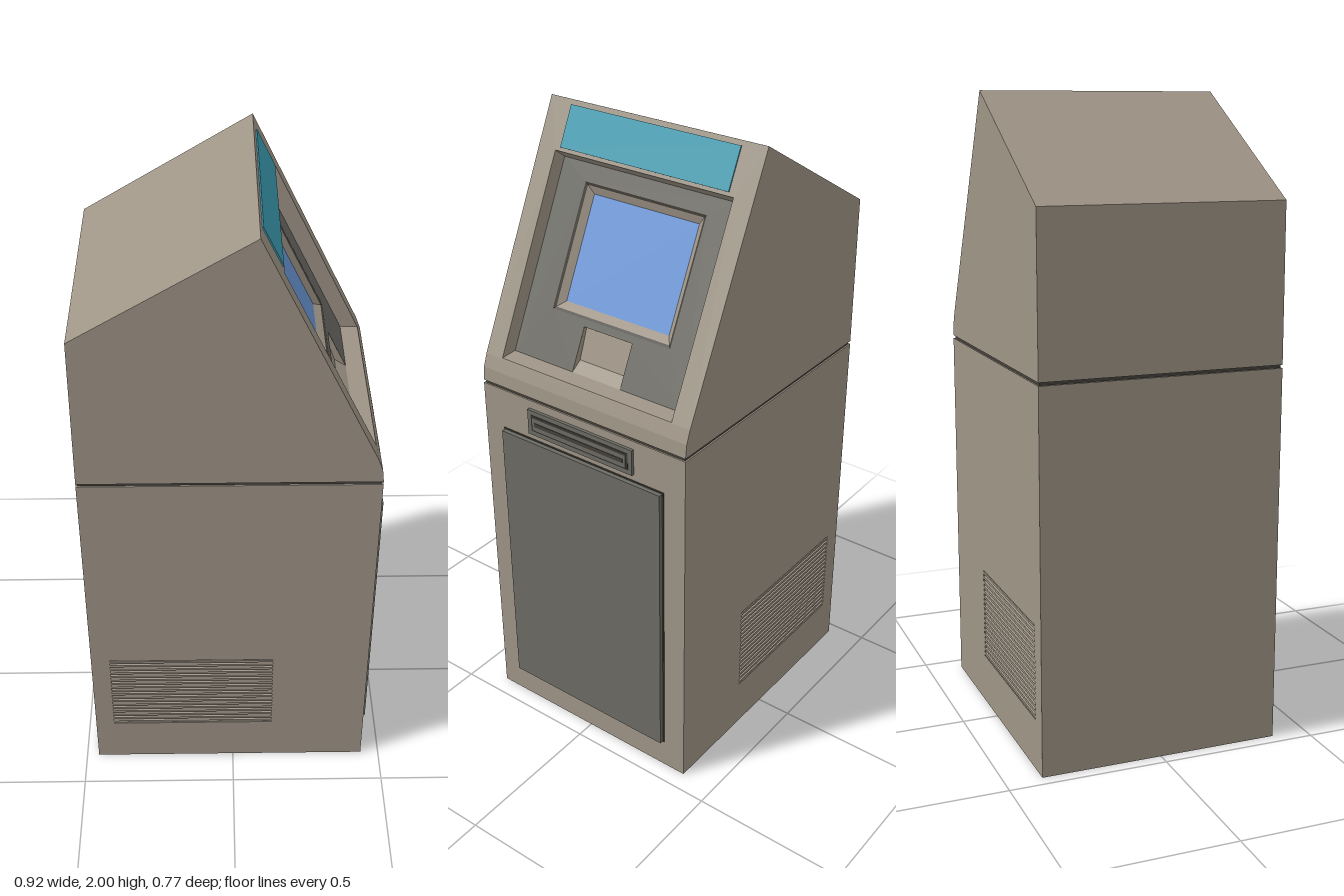
import * as THREE from 'three';

const mat = (name, color, side = THREE.FrontSide) => {
  const m = new THREE.MeshStandardMaterial({ color, side });
  m.name = name;
  return m;
};

export function createModel() {
  const root = new THREE.Group();
  root.name = 'kiosk';
  const hull = mat('warm grey casing', 0x9f9587, THREE.DoubleSide);
  const dark = mat('dark grey panel', 0x6c6b64, THREE.DoubleSide);
  const seam = mat('seam shadow', 0x45413b);
  const teal = mat('teal sign', 0x3c9bb0);
  const blue = mat('blue screen', 0x6b96d6);
  const W = 0.385; // half width

  const add = (name, geo, m, parent = root) => {
    const mesh = new THREE.Mesh(geo, m);
    mesh.name = name;
    parent.add(mesh);
    return mesh;
  };
  const box = (name, m, x0, x1, y0, y1, z0, z1, parent = root) =>
    add(name, new THREE.BoxGeometry(x1 - x0, y1 - y0, z1 - z0), m, parent)
      .position.set((x0 + x1) / 2, (y0 + y1) / 2, (z0 + z1) / 2);
  const quads = (list) => {
    const p = [];
    for (const [a, b, c, d] of list) p.push(...a, ...b, ...c, ...a, ...c, ...d);
    const g = new THREE.BufferGeometry();
    g.setAttribute('position', new THREE.Float32BufferAttribute(p, 3));
    g.computeVertexNormals();
    return g;
  };
  // open x-y profile swept across the width
  const strip = (pts, w) => quads(pts.slice(1).map((q, i) => {
    const p = pts[i];
    return [[...p, -w], [...q, -w], [...q, w], [...p, w]];
  }));
  const shape = (pts) => new THREE.Shape(pts.map((p) => new THREE.Vector2(...p)));
  const rect = (x0, x1, y0, y1) => [[x0, y0], [x1, y0], [x1, y1], [x0, y1]];
  const flatSides = (name, pts, w, m) => {
    for (const s of [-1, 1]) {
      const mesh = add(name, new THREE.ShapeGeometry(shape(pts)), m);
      mesh.position.z = s * w;
      if (s < 0) { // mirrored copy keeps its face outward
        mesh.rotation.y = Math.PI;
        mesh.geometry.scale(-1, 1, 1);
        const ix = mesh.geometry.index.array;
        for (let i = 0; i < ix.length; i += 3) [ix[i], ix[i + 1]] = [ix[i + 1], ix[i]];
      }
    }
  };

  // lower cabinet: front, back, floor and top
  const low = rect(-0.46, 0.44, 0, 1.187);
  add('cabinetShell', strip([...low, low[0]], W), hull);

  // cabinet sides with louvred vents
  const gx0 = -0.4, gx1 = 0.13, gy0 = 0.16, gy1 = 0.46;
  const sideShape = shape(low);
  sideShape.holes.push(new THREE.Path(rect(gx0, gx1, gy0, gy1).map((p) => new THREE.Vector2(...p))));
  const sideGeo = new THREE.ExtrudeGeometry(sideShape, { depth: 0.015, bevelEnabled: false });
  const count = 18, pitch = (gy1 - gy0) / count;
  for (const s of [-1, 1]) {
    add('cabinetSide', sideGeo, hull).position.z = s > 0 ? W - 0.015 : -W;
    const vent = new THREE.Group();
    vent.name = 'ventLouvres';
    root.add(vent);
    for (let i = 0; i < count; i++) {
      const y = gy0 + (i + 0.5) * pitch;
      box('louvre', hull, gx0, gx1, y - 0.004, y + 0.004, s * W - 0.012 - s * 0.012, s * W + 0.012 - s * 0.012, vent);
    }
  }

  // seam between cabinet and head
  box('seam', seam, -0.455, 0.435, 1.18, 1.205, -W + 0.005, W - 0.005);

  // head casing, open on the sloping front
  const head = [[0.07, 2], [-0.456, 1.685], [-0.46, 1.197], [0.44, 1.197], [0.435, 1.24], [0.42, 1.28]];
  add('headShell', strip(head, W), hull);
  flatSides('headSide', head, W, hull);

  // sloping fascia frame: x across, y up the slope, z outward
  const a = Math.atan2(0.35, 0.72), c = Math.cos(a), s = Math.sin(a);
  const fascia = new THREE.Group();
  fascia.name = 'fascia';
  new THREE.Matrix4().makeBasis(
    new THREE.Vector3(0, 0, -1), new THREE.Vector3(-s, c, 0), new THREE.Vector3(c, s, 0),
  ).setPosition(0.42, 1.28, 0).decompose(fascia.position, fascia.quaternion, fascia.scale);
  root.add(fascia);

  const plate = (name, outline, hole, z, m) => {
    const sh = shape(outline);
    if (hole) sh.holes.push(new THREE.Path(hole.map((p) => new THREE.Vector2(...p))));
    add(name, new THREE.ShapeGeometry(sh), m, fascia).position.z = z;
  };
  // inward facing walls between two rectangles at different depths
  const walls = (name, A, za, B, zb, m) => add(name, quads(A.map((p, i) => {
    const j = (i + 1) % 4;
    return [[...p, za], [...A[j], za], [...B[j], zb], [...B[i], zb]];
  })), m, fascia);

  const mouth = rect(-0.32, 0.32, 0.003, 0.645), inner = rect(-0.32, 0.32, 0.03, 0.635);
  plate('fasciaFrame', rect(-W, W, 0, 0.8005), mouth, 0, hull);
  walls('recessWalls', mouth, 0, inner, -0.05, hull);
  box('signStrip', teal, -0.302, 0.302, 0.656, 0.785, -0.004, 0.004, fascia);

  // recessed control panel, notched at the bottom for the tray
  const opening = rect(-0.22, 0.22, 0.191, 0.58);
  plate('controlPanel', [[-0.32, 0.03], [-0.09, 0.03], [-0.09, 0.169], [0.09, 0.169], [0.09, 0.03],
    [0.32, 0.03], [0.32, 0.635], [-0.32, 0.635]], opening, -0.05, dark);

  // display: dark rim, sloped bezel and screen
  const rim = rect(-0.212, 0.212, 0.199, 0.572), view = rect(-0.192, 0.192, 0.223, 0.551);
  walls('bezelRim', opening, -0.05, rim, -0.054, seam);
  walls('screenBezel', rim, -0.054, view, -0.07, hull);
  plate('screen', view, null, -0.07, blue);

  // scooped tray below the display
  const scoop = [[0.362, 1.285], [0.325, 1.31], [0.29, 1.405], [0.301, 1.41]];
  add('tray', strip(scoop, 0.09), hull);
  flatSides('traySide', scoop, 0.09, hull);

  // slot with nested frames
  box('slotFrame', dark, 0.435, 0.45, 1.075, 1.16, -0.2, 0.2);
  box('slotGroove', seam, 0.44, 0.4515, 1.09, 1.145, -0.186, 0.186);
  box('slotLip', dark, 0.44, 0.455, 1.095, 1.14, -0.18, 0.18);
  box('slotMouth', seam, 0.45, 0.4565, 1.111, 1.124, -0.17, 0.17);

  // front service door
  box('doorGap', seam, 0.435, 0.443, 0.096, 1.054, -0.309, 0.309);
  box('door', dark, 0.44, 0.457, 0.1, 1.05, -0.305, 0.305);

  return root;
}
